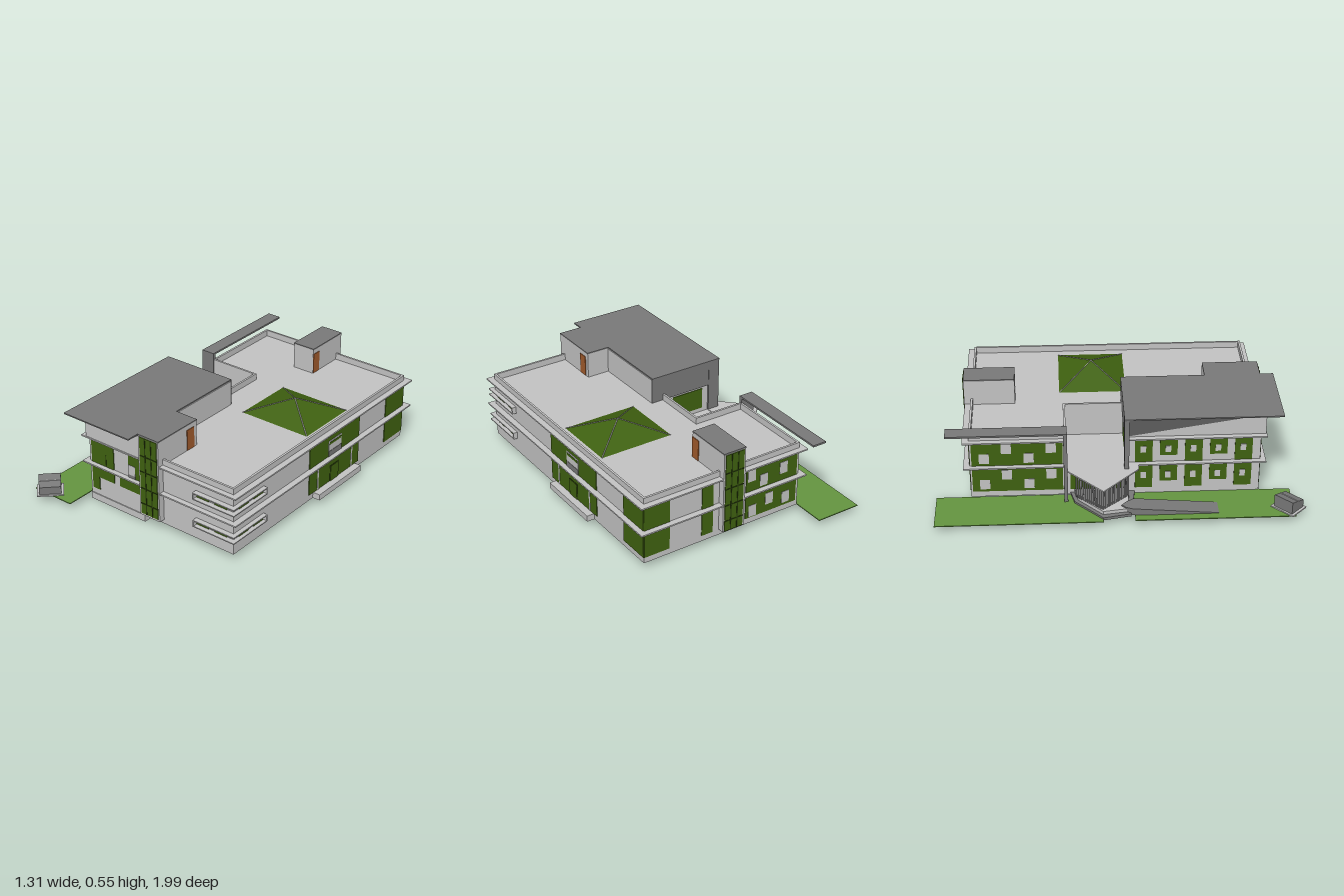
import * as THREE from 'three';

const mat = (name, color, side = THREE.FrontSide) => {
  const m = new THREE.MeshStandardMaterial({ color, side });
  m.name = name;
  return m;
};

export function createModel() {
  const wall = mat('light wall', 0xc2c2c2), dark = mat('dark grey', 0x787878);
  const glass = mat('green glass', 0x3f6110), grass = mat('grass', 0x649440);
  const door = mat('brown door', 0xa05a2c), bar = mat('dark mullion', 0x263a0a);
  const soffitMat = mat('soffit grey', 0x787878, THREE.DoubleSide);
  const root = new THREE.Group();
  root.name = 'building';

  const add = (name, geo, m) => {
    const mesh = new THREE.Mesh(geo, m);
    mesh.name = name;
    root.add(mesh);
    return mesh;
  };
  // box given by its limits
  const box = (name, m, x0, x1, y0, y1, z0, z1) => {
    const b = add(name, new THREE.BoxGeometry(x1 - x0, y1 - y0, z1 - z0), m);
    b.position.set((x0 + x1) / 2, (y0 + y1) / 2, (z0 + z1) / 2);
    return b;
  };
  // horizontal slab from [x, z] corners
  const slab = (name, m, pts, y0, y1) => {
    const s = new THREE.Shape(pts.map(([x, z]) => new THREE.Vector2(x, -z)));
    const g = new THREE.ExtrudeGeometry(s, { depth: y1 - y0, bevelEnabled: false });
    g.rotateX(-Math.PI / 2).translate(0, y0, 0);
    return add(name, g, m);
  };
  // thin plate on an outer face; u runs along the face
  const plate = (name, face, m, u0, u1, y0, y1, level = 0, at) => {
    const t = 0.004 + level * 0.002;
    const p = at ?? { front: 0.76, back: -0.81, right: 0.605, left: -0.38 }[face];
    const d = face === 'front' || face === 'right' ? [p - 0.002, p + t] : [p - t, p + 0.002];
    if (face === 'front' || face === 'back') box(name, m, u0, u1, y0, y1, ...d);
    else box(name, m, ...d, y0, y1, u0, u1);
  };

  // main body with a roof terrace cut into the entrance side
  box('lowerFloor', wall, -0.38, 0.605, 0.04, 0.235, -0.81, 0.76);
  slab('upperFloor', wall, [[-0.38, -0.81], [0.605, -0.81], [0.605, 0.76], [-0.38, 0.76],
    [-0.38, 0.03], [-0.08, 0.03], [-0.08, -0.29], [-0.38, -0.29]], 0.235, 0.395);
  box('basement', wall, -0.38, 0.008, 0, 0.04, 0.035, 0.765);
  for (const [x0, x1, z0, z1] of [[0.593, 0.605, -0.81, 0.76], [-0.38, 0.605, -0.81, -0.798],
    [0, 0.605, 0.748, 0.76], [-0.38, -0.368, -0.81, -0.29],
    [-0.38, -0.068, -0.302, -0.29], [-0.08, -0.068, -0.29, 0.03]])
    box('parapet', wall, x0, x1, 0.39, 0.432, z0, z1);

  // ledges around both floors
  for (const y of [0.235, 0.395])
    for (const [x0, x1, z0, z1] of [[-0.41, 0.64, 0.755, 0.79], [0.6, 0.64, -0.845, 0.79],
      [-0.41, 0.64, -0.845, -0.805], [-0.41, -0.375, -0.845, -0.29], [-0.41, -0.375, 0.03, 0.79]])
      box('ledge', wall, x0, x1, y - 0.004, y + 0.004, z0, z1);

  // front windows
  plate('frontWindow', 'front', glass, -0.365, -0.205, 0.155, 0.39);
  plate('frontWindow', 'front', glass, -0.365, -0.315, 0.075, 0.155);
  plate('frontMullion', 'front', bar, -0.262, -0.259, 0.24, 0.31, 1);
  plate('frontWindow', 'front', glass, -0.165, 0.005, 0.155, 0.23);
  plate('frontWindow', 'front', glass, -0.1, 0.005, 0.235, 0.39);
  plate('frontPanel', 'front', wall, -0.1, -0.052, 0.257, 0.315, 1);
  plate('frontPanel', 'front', dark, -0.1, -0.052, 0.237, 0.257, 1);

  // strip windows wrapping the front corner, with projecting frames
  for (const y of [0.125, 0.29]) {
    for (const dy of [0, 0.035]) {
      box('stripFrame', wall, 0.36, 0.63, y + dy, y + dy + 0.006, 0.75, 0.79);
      box('stripFrame', wall, 0.595, 0.63, y + dy, y + dy + 0.006, 0.51, 0.79);
    }
    box('stripFrameEnd', wall, 0.36, 0.366, y, y + 0.041, 0.75, 0.79);
    box('stripFrameEnd', wall, 0.595, 0.63, y, y + 0.041, 0.51, 0.516);
    for (const u of [0.366, 0.485]) plate('stripWindow', 'front', glass, u, u + 0.08, y + 0.006, y + 0.035);
    for (const u of [0.52, 0.64]) plate('stripWindow', 'right', glass, u, u + 0.08, y + 0.006, y + 0.035);
  }

  // right side: glazed entrance, corner glazing, step
  plate('sideGlazing', 'right', glass, -0.36, 0.11, 0.075, 0.39);
  plate('cornerGlazing', 'right', glass, -0.81, -0.625, 0.075, 0.39);
  for (const z of [0.03, -0.29]) plate('sideJamb', 'right', wall, z - 0.005, z + 0.006, 0.075, 0.232, 1);
  plate('sidePanel', 'right', wall, -0.182, -0.062, 0.24, 0.335, 1);
  plate('sidePanelWindow', 'right', glass, -0.175, -0.069, 0.312, 0.326, 2);
  plate('sidePanelBase', 'right', dark, -0.182, -0.062, 0.24, 0.272, 2);
  plate('sideDoorFrame', 'right', bar, -0.163, -0.083, 0.075, 0.172, 1);
  plate('sideDoor', 'right', glass, -0.16, -0.086, 0.075, 0.169, 2);
  box('sideStep', wall, 0.6, 0.65, 0.04, 0.075, -0.328, 0.068);

  // back windows
  plate('cornerGlazing', 'back', glass, 0.45, 0.605, 0.075, 0.39);
  plate('backWindow', 'back', glass, 0.18, 0.25, 0.075, 0.39);
  plate('backWindow', 'back', glass, -0.365, -0.03, 0.075, 0.39);
  for (const [u, y] of [[-0.3, 0.28], [-0.17, 0.25], [-0.09, 0.3], [-0.32, 0.09], [-0.21, 0.12], [-0.1, 0.08]])
    plate('backPanel', 'back', wall, u, u + 0.05, y, y + 0.07, 1);

  // left windows on both floors
  for (const y of [0.075, 0.24]) {
    plate('leftGlazing', 'left', glass, -0.8, -0.31, y, y + 0.15);
    for (let i = 0; i < 4; i++) {
      const z = -0.76 + i * 0.12, h = y + (i % 2) * 0.06;
      plate('leftPanel', 'left', wall, z, z + 0.055, h + 0.015, h + 0.075, 1);
    }
    for (let i = 0; i < 5; i++) {
      const z = 0.08 + i * 0.135;
      plate('leftWindow', 'left', glass, z, z + 0.095, y + (i % 2) * 0.04, y + 0.15);
      plate('leftPanel', 'left', wall, z + 0.03, z + 0.06, y + 0.06, y + 0.1, 1);
    }
  }
  plate('entranceGlazing', 'left', glass, -0.27, 0.01, 0.075, 0.225);
  plate('terraceWindow', 'back', glass, -0.34, -0.14, 0.26, 0.385, 0, 0.03);

  // two stair towers with glazed strips and roof doors
  const tower = (face, z0, z1, zFace, yBase, zDoor) => {
    box('stairTower', wall, 0.005, 0.14, yBase, 0.543, z0, z1);
    box('towerRoof', dark, 0.003, 0.142, 0.543, 0.55, z0, z1);
    plate('towerGlass', face, glass, 0.016, 0.131, 0.078, 0.54, 0, zFace);
    for (const x of [0.053, 0.093]) plate('towerMullion', face, bar, x - 0.003, x + 0.003, 0.078, 0.54, 1, zFace);
    for (const y of [0.14, 0.235, 0.335, 0.43]) plate('towerMullion', face, bar, 0.016, 0.131, y - 0.003, y + 0.003, 1, zFace);
    plate('roofDoor', 'right', door, zDoor, zDoor + 0.056, 0.397, 0.517, 0, 0.14);
  };
  tower('front', 0.485, 0.795, 0.795, 0.065, 0.51);
  tower('back', -0.847, -0.565, -0.847, 0.075, -0.622);

  // penthouse under the large overhanging roof
  box('penthouse', wall, -0.38, 0.005, 0.39, 0.54, 0.03, 0.785);
  box('penthouseBack', dark, -0.38, 0.005, 0.397, 0.543, 0.022, 0.03);
  box('largeRoof', dark, -0.452, 0.003, 0.543, 0.55, 0.02, 0.867);
  const soffit = new THREE.BufferGeometry();
  soffit.setAttribute('position', new THREE.Float32BufferAttribute([
    -0.452, 0.543, 0.02, -0.452, 0.543, 0.867, 0.003, 0.543, 0.867,
    0.003, 0.54, 0.787, -0.382, 0.52, 0.787, -0.382, 0.4, 0.02], 3));
  soffit.setIndex([0, 5, 4, 0, 4, 1, 1, 4, 3, 1, 3, 2]);
  const soffitFlat = soffit.toNonIndexed();
  soffitFlat.computeVertexNormals();
  add('slopedSoffit', soffitFlat, soffitMat);
  box('entranceFin', dark, -0.45, -0.38, 0.04, 0.543, 0.02, 0.045);

  // tall fin carrying a long beam
  box('tallFin', dark, -0.455, -0.372, 0.04, 0.47, -0.305, -0.285);
  box('longBeam', dark, -0.455, -0.372, 0.462, 0.472, -0.93, -0.285);

  // pyramid skylight with pale ridges
  const pyramid = new THREE.ConeGeometry(Math.SQRT1_2, 0.083, 4, 1).toNonIndexed();
  pyramid.rotateY(Math.PI / 4).scale(0.435, 1, 0.375);
  pyramid.computeVertexNormals();
  add('skylight', pyramid, glass).position.set(0.328, 0.4365, -0.132);
  for (const sx of [-1, 1]) for (const sz of [-1, 1]) {
    const path = new THREE.LineCurve3(new THREE.Vector3(0.328, 0.478, -0.132),
      new THREE.Vector3(0.328 + sx * 0.2175, 0.395, -0.132 + sz * 0.1875));
    add('skylightRidge', new THREE.TubeGeometry(path, 1, 0.003, 4), wall);
  }

  // pointed entrance canopy, louvred screens and landing
  slab('entranceCanopy', wall, [[-0.38, -0.29], [-0.45, -0.29], [-0.655, -0.1], [-0.45, 0.098], [-0.38, 0.098]], 0.231, 0.239);
  slab('entranceLanding', dark, [[-0.38, -0.27], [-0.47, -0.25], [-0.63, -0.1], [-0.6, 0.05], [-0.38, 0.08]], 0.036, 0.052);
  slab('entranceStep', wall, [[-0.38, -0.25], [-0.46, -0.23], [-0.6, -0.1], [-0.58, 0.03], [-0.38, 0.05]], 0.052, 0.072);
  for (const end of [-0.24, 0.04])
    for (let i = 0; i <= 14; i++) {
      const t = i / 14, x = -0.58 + 0.125 * t, z = -0.1 + (end + 0.1) * t;
      box('louvre', dark, x - 0.003, x + 0.003, 0.072, 0.231, z - 0.004, z + 0.004);
    }

  // curved ramp along the left side
  slab('rampHead', dark, [[-0.5, 0.1], [-0.6, 0.1], [-0.595, 0.06], [-0.58, 0.025], [-0.555, 0], [-0.53, 0.02], [-0.5, 0.06]], 0.04, 0.08);
  const ramp = new THREE.ExtrudeGeometry(new THREE.Shape([[0.1, 0.04], [0.52, 0.04], [0.52, 0.044], [0.1, 0.08]]
    .map(p => new THREE.Vector2(-p[0], p[1]))), { depth: 0.1, bevelEnabled: false });
  ramp.rotateY(Math.PI / 2).translate(-0.6, 0, 0);
  add('ramp', ramp, dark);

  // lawns
  box('backLawn', grass, -0.65, -0.385, 0.036, 0.041, -1, -0.1);
  box('frontLawn', grass, -0.645, -0.385, 0.036, 0.041, 0.07, 0.93);

  // small angled block on a base plate
  const block = new THREE.Group();
  block.name = 'angledBlock';
  const base = new THREE.Mesh(new THREE.BoxGeometry(0.148, 0.008, 0.12), wall);
  base.position.y = 0.044;
  const side = new THREE.Shape([[-0.05, 0.048], [0.05, 0.048], [0.05, 0.092], [-0.05, 0.12]].map(p => new THREE.Vector2(...p)));
  const body = new THREE.Mesh(new THREE.ExtrudeGeometry(side, { depth: 0.12, bevelEnabled: false }).rotateY(-Math.PI / 2).translate(0.06, 0, 0), dark);
  const rib = new THREE.Mesh(new THREE.BoxGeometry(0.12, 0.004, 0.006), wall);
  rib.position.y = 0.107;
  base.name = 'blockBase'; body.name = 'blockBody'; rib.name = 'blockRib';
  block.add(base, body, rib);
  block.position.set(-0.562, 0, 0.9);
  block.rotation.y = Math.PI / 4;
  root.add(block);

  return root;
}
